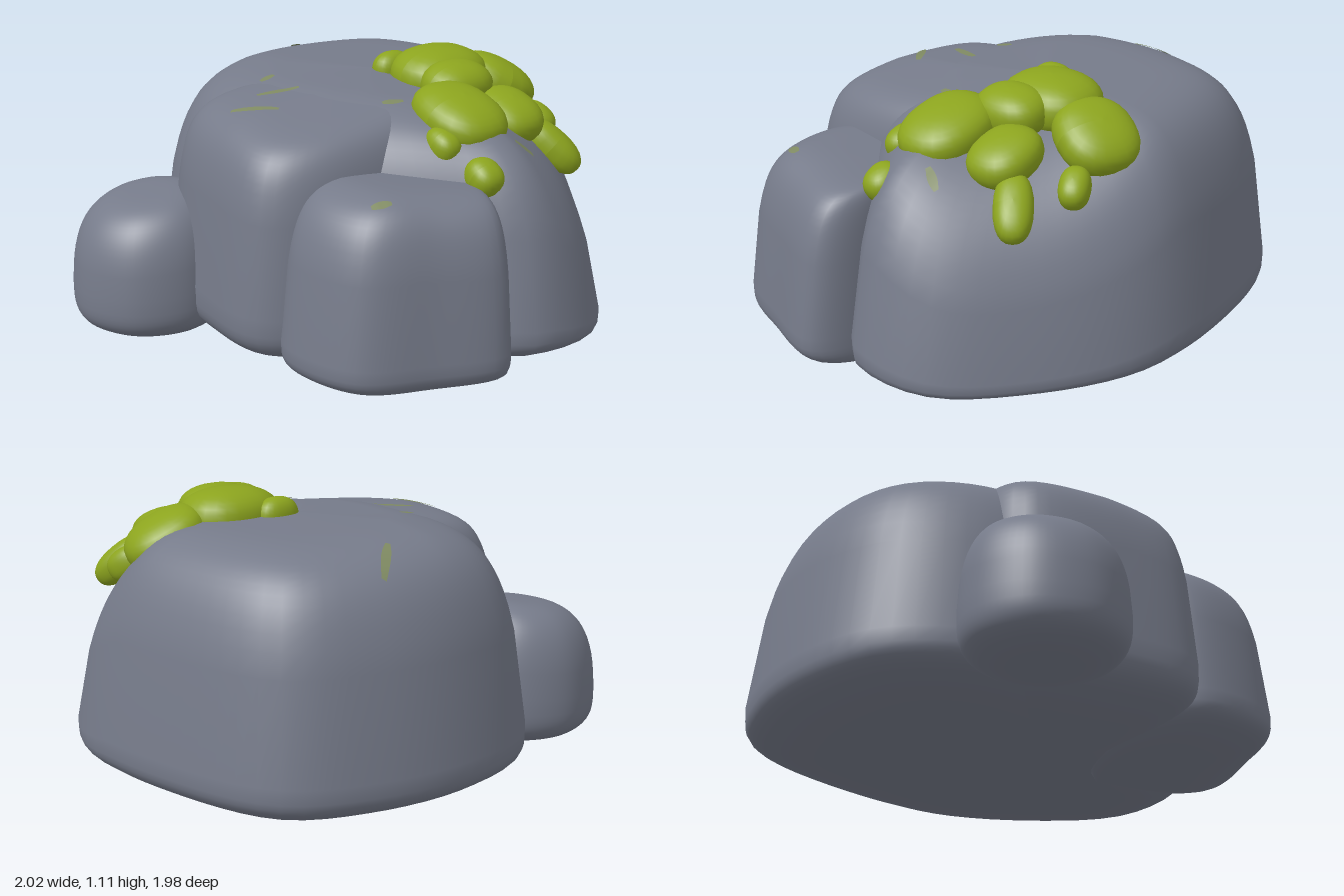
import * as THREE from 'three';

const stone = new THREE.MeshStandardMaterial({ color: 0x767b8a });
const moss = new THREE.MeshStandardMaterial({ color: 0x8ca41e });
const lichen = new THREE.MeshStandardMaterial({ color: 0x7f8a62, side: THREE.DoubleSide });
stone.name = 'stone';
moss.name = 'moss';
lichen.name = 'lichen';

function surface(name, pos, index, material) {
  const geo = new THREE.BufferGeometry();
  geo.setAttribute('position', new THREE.Float32BufferAttribute(pos, 3));
  geo.setIndex(index);
  geo.computeVertexNormals();
  const mesh = new THREE.Mesh(geo, material);
  mesh.name = name;
  return mesh;
}

// Lofts a rock from an [x, z] outline: a rounded foot up to the waist, then a
// tapering superellipse dome around the crown. top(x, z) is the dome's height.
function rock(name, outline, crown, { power, taper, waist, bottom }, top) {
  const n = 64, steps = 16;
  const curve = new THREE.CatmullRomCurve3(
    outline.map(([x, z]) => new THREE.Vector3(x, 0, z)), true, 'centripetal');
  const rim = curve.getSpacedPoints(n).slice(0, n);
  const pos = [], index = [];
  for (let r = -steps; r <= steps; r++) {
    const t = Math.abs(r) / steps * Math.PI / 2;
    const e = 2 / (r < 0 ? 4 : power);
    const rise = Math.pow(Math.sin(t), e);
    const lean = r < 0 ? 1 : 1 - taper * Math.pow(rise, 1.5);
    const s = Math.pow(Math.max(0, Math.cos(t)), e) * lean;
    const h = r < 0 ? waist * (1 - rise) - 0.03 * (1 - s) : waist + (1 - waist) * rise;
    rim.forEach((p, i) => {
      const x = crown[0] + (p.x - crown[0]) * s;
      const z = crown[1] + (p.z - crown[1]) * s;
      pos.push(x, bottom + h * (top(x, z) - bottom), z);
      if (r === -steps) return;
      const j = (i + 1) % n, b = (r + steps) * n, a = b - n;
      index.push(a + i, a + j, b + j, a + i, b + j, b + i);
    });
  }
  return surface(name, pos, index, stone);
}

// A softly squared moss cushion, turned by yaw and tipped forward by pitch
function cushion(x, y, z, across, along, pitch, yaw = 0) {
  const geo = new THREE.SphereGeometry(1, 24, 16);
  const p = geo.attributes.position;
  const thick = 0.045 + 0.33 * across;
  const soften = v => Math.sign(v) * Math.pow(Math.abs(v), 0.86);
  for (let i = 0; i < p.count; i++) {
    p.setXYZ(i, soften(p.getX(i)) * across, soften(p.getY(i)) * thick, soften(p.getZ(i)) * along);
  }
  geo.computeVertexNormals();
  const mesh = new THREE.Mesh(geo, moss);
  mesh.position.set(x, y, z);
  mesh.rotation.set(pitch, yaw, 0, 'YXZ');
  mesh.name = 'mossCushion';
  return mesh;
}

// A thin tapered streak draped over the rocks from (x1, z1) to (x2, z2)
function streak(rocks, x1, z1, x2, z2) {
  const ray = new THREE.Raycaster();
  const down = new THREE.Vector3(0, -1, 0);
  const dx = x2 - x1, dz = z2 - z1, len = Math.hypot(dx, dz), steps = 8;
  const pos = [], index = [];
  for (let i = 0; i <= steps; i++) {
    const t = i / steps;
    const w = 0.009 * (1 + Math.sin(Math.PI * t)) / len;
    for (const side of [-1, 1]) {
      const x = x1 + dx * t + side * w * dz;
      const z = z1 + dz * t - side * w * dx;
      ray.set(new THREE.Vector3(x, 3, z), down);
      pos.push(x, ray.intersectObjects(rocks)[0].point.y + 0.005, z);
    }
    if (i) {
      const a = 2 * i - 2;
      index.push(a, a + 2, a + 1, a + 1, a + 2, a + 3);
    }
  }
  return surface('lichenStreak', pos, index, lichen);
}

export function createModel() {
  const model = new THREE.Group();
  model.name = 'mossyBoulders';

  // Shared crown height, falling to the front and most of all to the front left
  const crownHeight = (x, z) => 1.01 + 0.1 * Math.min(0, x)
    - Math.max(0, z) * (0.12 + 0.9 * THREE.MathUtils.clamp(x - 0.25, 0, 0.7));

  // Large boulder
  const mainOutline = [
    [0.995, 0.2], [0.985, -0.28], [0.8, -0.8], [0.45, -0.96], [0.05, -0.98], [-0.32, -0.85],
    [-0.53, -0.5], [-0.45, 0.2], [0.04, 0.8], [0.2, 0.94], [0.5, 0.91], [0.76, 0.65],
  ];
  const mainBoulder = rock('mainBoulder', mainOutline, [0.2, -0.1],
    { power: 6.5, taper: 0.17, waist: 0.19, bottom: 0.03 }, crownHeight);

  // Steep boulder on the right flank, flush with the large one
  const sideOutline = [
    [0.3, -0.35], [-0.3, -0.48], [-0.57, -0.42], [-0.69, 0], [-0.67, 0.31], [-0.4, 0.45], [0.3, 0.35],
  ];
  const sideBoulder = rock('sideBoulder', sideOutline, [0, 0],
    { power: 8, taper: 0.11, waist: 0.25, bottom: 0.04 }, (x, z) => crownHeight(x, z) - 0.008);

  // Lower boulder at the front
  const frontOutline = [
    [0.08, 0.82], [0, 0.3], [-0.4, 0.22], [-0.62, 0.4], [-0.57, 0.77], [-0.3, 0.91], [-0.01, 0.985],
  ];
  const frontBoulder = rock('frontBoulder', frontOutline, [0.07, 0.4],
    { power: 7, taper: 0.14, waist: 0.2, bottom: 0.03 }, x => 0.79 - 0.1 * Math.max(0, x + 0.35));

  // Small round boulder
  const smallOutline = Array.from({ length: 8 }, (_, i) => {
    const a = i * Math.PI / 4;
    return [-0.685 + 0.315 * Math.cos(a), -0.415 - 0.315 * Math.sin(a)];
  });
  const smallBoulder = rock('smallBoulder', smallOutline, [-0.685, -0.415],
    { power: 3.8, taper: 0.14, waist: 0.36, bottom: 0.04 }, x => 0.6 + 0.15 * (x + 0.6));

  const rocks = [mainBoulder, sideBoulder, frontBoulder, smallBoulder];
  model.add(...rocks);

  // Moss patch: x, y, z, across, along, pitch, yaw
  const patch = new THREE.Group();
  patch.name = 'mossPatch';
  const cushions = [
    [0.2, 0.93, 0.44, 0.165, 0.2, 0.28],
    [0.4, 0.995, 0.08, 0.2, 0.17, 0.06],
    [0.35, 0.99, 0.25, 0.15, 0.12, 0.2],
    [0.66, 0.93, 0.13, 0.16, 0.17, 0.5, 1.2],
    [0.47, 0.885, 0.42, 0.13, 0.15, 0.35],
    [0.61, 0.755, 0.53, 0.075, 0.14, 0.7, 0.7],
    [0.72, 0.8, 0.32, 0.06, 0.085, 0.6, 0.5],
    [0.11, 0.765, 0.69, 0.07, 0.08, 0.5],
    [0.05, 0.86, 0.52, 0.06, 0.08, 0.3],
    [0.28, 1, -0.07, 0.09, 0.06, 0],
  ];
  cushions.forEach(c => patch.add(cushion(...c)));
  model.add(patch);

  // Lichen streaks: start x, z, end x, z
  const streaks = new THREE.Group();
  streaks.name = 'lichenStreaks';
  const lines = [
    [0.21, -0.66, 0.34, -0.8],
    [-0.48, -0.12, -0.36, 0.03],
    [-0.33, -0.16, -0.17, -0.1],
    [-0.22, -0.29, -0.15, -0.3],
    [0.3, 0.65, 0.37, 0.68],
    [-0.42, 0.68, -0.35, 0.71],
    [-0.02, 0.24, 0.06, 0.27],
  ];
  lines.forEach(l => streaks.add(streak(rocks, ...l)));
  model.add(streaks);

  return model;
}
